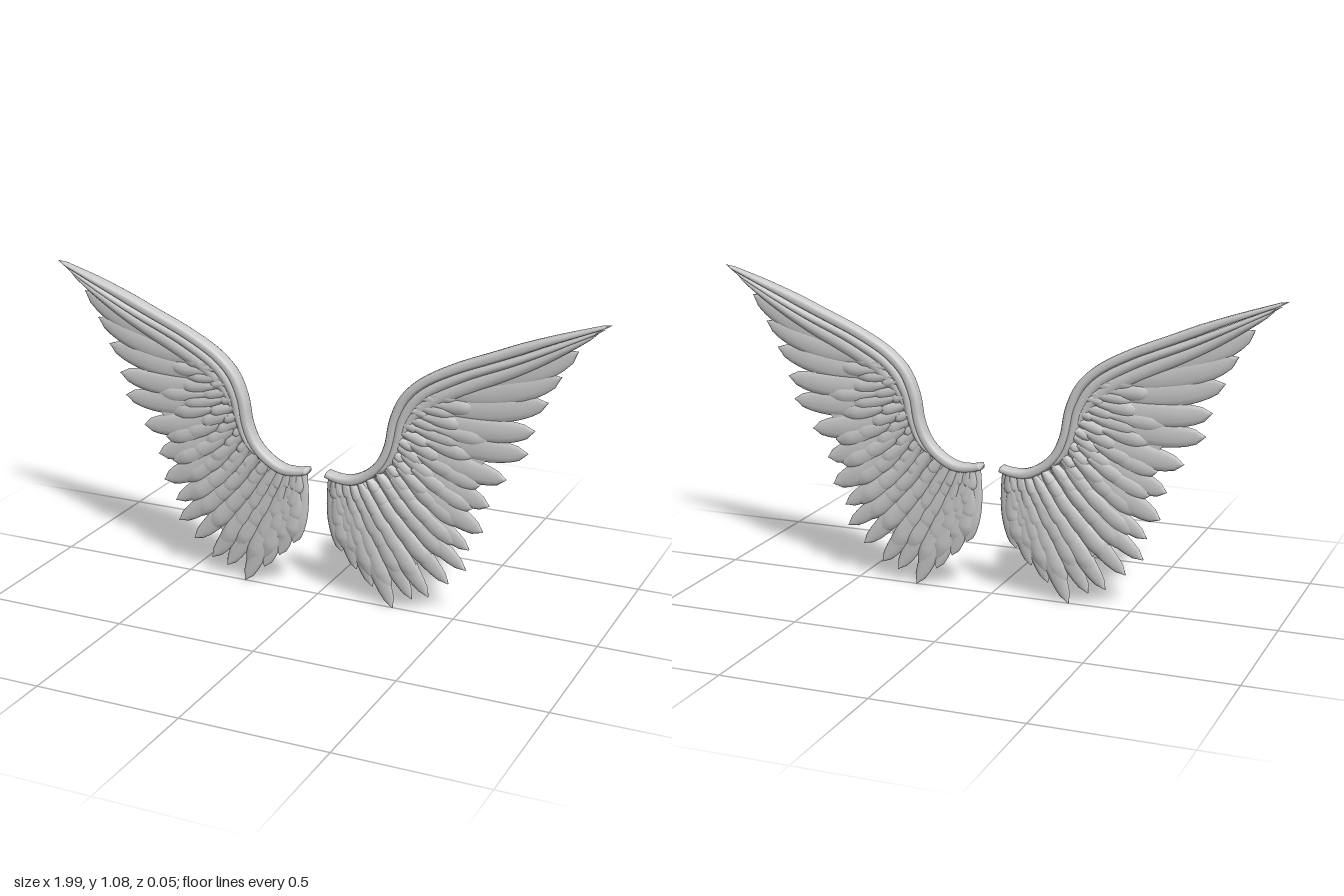
import * as THREE from 'three';

const V = (x, y) => new THREE.Vector3(x, y, 0);
const curveOf = (pts) => new THREE.CatmullRomCurve3(pts.map(([x, y]) => V(x, y)), false, 'centripetal');
const material = new THREE.MeshStandardMaterial({ color: 0xcccccc });

// Wing layout for the +x side: feather roots along the arm, tips along the trailing edge
const roots = curveOf([[.42, .83], [.35, .77], [.31, .7], [.28, .62], [.26, .55], [.22, .49],
  [.17, .455], [.13, .44], [.09, .44], [.055, .445]]);
const tipList = [[.89, .99], [.84, .9], [.8, .81], [.76, .71], [.74, .63], [.67, .53], [.615, .43],
  [.595, .335], [.55, .265], [.54, .19], [.48, .13], [.41, .07], [.35, .05], [.28, .005], [.205, .07],
  [.145, .125], [.09, .18]];
const tips = curveOf(tipList);
const last = tipList.length - 1;

// Curved spine of the feather at fan position u (0 = wing tip side, 1 = inner side)
function spine(u) {
  const a = roots.getPoint(u), b = tips.getPoint(u);
  const d = b.clone().sub(a), sag = .13 * (1 - u) + .01;
  const mid = a.clone().add(b).multiplyScalar(.5).add(V(d.y * sag, -d.x * sag));
  return new THREE.QuadraticBezierCurve3(a, mid, b);
}

// Closed tube with an elliptical section: half width in the wing plane, half depth along z
function loft(curve, t0, t1, steps, sides, width, depth, boxy, s) {
  const pos = [], index = [];
  const squash = (v) => Math.sign(v) * Math.pow(Math.abs(v), boxy);
  for (let i = 0; i <= steps; i++) {
    const k = i / steps, t = t0 + (t1 - t0) * k;
    const p = curve.getPoint(t), g = curve.getTangent(t);
    p.x *= s;
    g.x *= s;
    for (let j = 0; j < sides; j++) {
      const a = (j / sides) * Math.PI * 2;
      const w = squash(Math.cos(a)) * width(k);
      pos.push(p.x - g.y * w, p.y + g.x * w, squash(Math.sin(a)) * depth(k));
      if (i < steps) {
        const n = (j + 1) % sides, r = i * sides;
        index.push(r + j, r + n, r + sides + j, r + n, r + sides + n, r + sides + j);
      }
    }
  }
  const geo = new THREE.BufferGeometry();
  geo.setAttribute('position', new THREE.Float32BufferAttribute(pos, 3));
  geo.setIndex(index);
  geo.computeVertexNormals();
  return geo;
}

// Feather outline: slim root, broad blade, rounded point
const blade = (k) => (.45 + .55 * Math.sin(Math.min(k / .6, 1) * Math.PI / 2))
  * Math.sqrt(Math.max(0, 1 - Math.pow(Math.max(0, (k - .5) / .5), 2.2)));
const thick = (k) => .35 + .65 * Math.min(1, (1 - k) / .3);

function addMesh(group, name, geo) {
  const mesh = new THREE.Mesh(geo, material);
  mesh.name = name;
  group.add(mesh);
}

function feather(group, name, u, f0, f1, w, d, s) {
  addMesh(group, name, loft(spine(u), f0, f1, 14, 12,
    (k) => w * blade(k), (k) => d * thick(k), 1, s));
}

function createWing(s) {
  const wing = new THREE.Group();
  wing.name = s > 0 ? 'leftWing' : 'rightWing';

  // Thin core that closes the gaps between the feathers
  const outline = [];
  for (let i = 0; i <= 30; i++) outline.push(roots.getPoint(i / 30));
  for (let i = 30; i >= 0; i--) outline.push(spine(i / 30).getPoint(.74));
  const shape = new THREE.Shape(outline.map((p) => new THREE.Vector2(p.x * s, p.y)));
  const core = new THREE.ExtrudeGeometry(shape, { depth: .012, bevelEnabled: false });
  core.translate(0, 0, -.006);
  addMesh(wing, 'wingCore', core);

  // Long flight feathers
  for (let i = 0; i <= last; i++) {
    const u = i / last;
    feather(wing, 'flightFeather', u, 0, 1, i < 8 ? .046 : .037, .012 + .0015 * (i % 2), s);
  }

  // Overlapping covert rows: [count, first u, last u, start, end, half width, half depth]
  const rows = [
    [12, .34, .99, .4, .84, .036, .0155],
    [14, .2, .98, .25, .66, .034, .017],
    [14, .12, .97, .12, .49, .031, .0185],
    [14, .06, .97, .02, .33, .027, .0195],
    [12, .1, .95, 0, .19, .023, .021],
  ];
  rows.forEach(([n, u0, u1, f0, f1, w, d], r) => {
    for (let i = 0; i < n; i++) {
      const u = u0 + (u1 - u0) * (i + (r % 2) * .3) / (n - .7);
      const wobble = .035 * Math.sin(i * 2.4 + r * 1.7);
      feather(wing, 'covertFeather', u, f0, f1 + wobble, w, d + .001 * (i % 2), s);
    }
  });

  // Heavy rim along the leading edge
  const rim = curveOf([[.03, .457], [.075, .446], [.13, .447], [.19, .478], [.235, .525], [.263, .59],
    [.28, .68], [.315, .76], [.375, .82], [.48, .88], [.62, .94], [.8, 1.015], [.995, 1.088]]);
  const rimWidth = (k) => k === 0 || k === 1 ? 0
    : .017 * Math.min(1, .65 + k * 2) * Math.min(1, .25 + (1 - k) * 6);
  const rimDepth = (k) => k === 0 || k === 1 ? 0 : .027 * Math.min(1, .4 + (1 - k) * 9);
  addMesh(wing, 'leadingEdge', loft(rim, 0, 1, 80, 14, rimWidth, rimDepth, .7, s));

  // Slim bands running beneath the rim towards the wing tip
  const bands = [
    [[.2, .465], [.262, .53], [.292, .61], [.312, .69], [.37, .775], [.5, .855], [.7, .94], [.975, 1.072]],
    [[.3, .61], [.335, .69], [.41, .765], [.54, .835], [.72, .92], [.95, 1.055]],
  ];
  bands.forEach((pts, i) => {
    const swell = (k) => Math.sqrt(Math.max(0, Math.sin(Math.PI * k)));
    addMesh(wing, 'innerBand', loft(curveOf(pts), 0, 1, 40, 12,
      (k) => (.022 + .006 * i) * swell(k), (k) => (.0235 - .003 * i) * Math.min(1, 2 * swell(k)), .9, s));
  });
  return wing;
}

export function createModel() {
  const model = new THREE.Group();
  model.name = 'featheredWings';
  for (const s of [1, -1]) model.add(createWing(s));
  return model;
}
